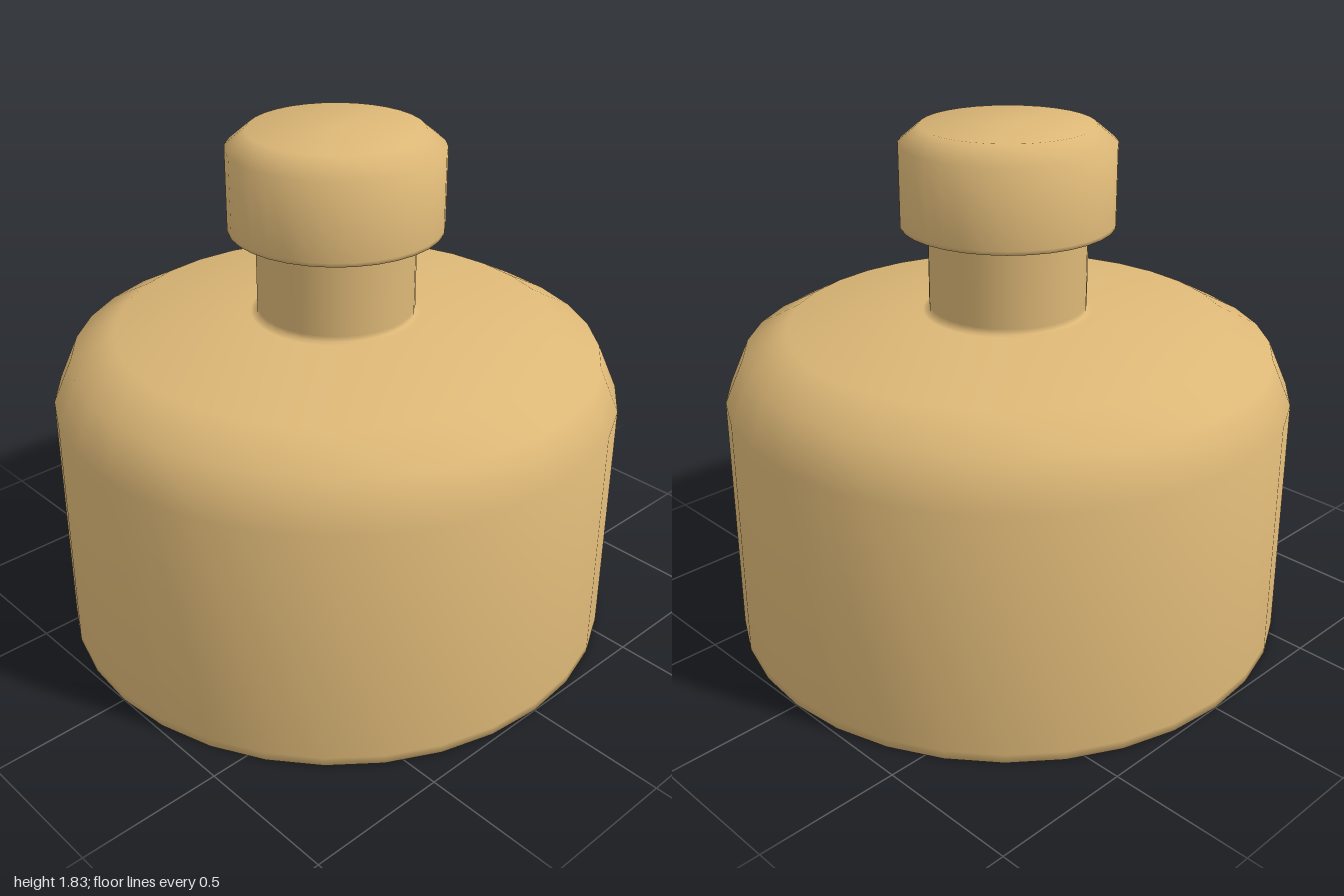
import * as THREE from 'three';

const SIDES = 32;

// Turns a profile of [radius, height] points (bottom to top) into a solid whose
// normals average the neighbouring profile segments equally, for soft rims.
function turned(name, profile, material) {
  const points = profile.map(([r, y]) => new THREE.Vector2(r, y));
  const geometry = new THREE.LatheGeometry(points, SIDES);
  const segments = points.slice(1).map((p, i) => {
    const d = p.clone().sub(points[i]).normalize();
    return new THREE.Vector2(d.y, -d.x);
  });
  const last = segments.length - 1;
  const normals = points.map((p, j) => {
    if (j === 0) return segments[0];
    if (j > last) return segments[last];
    return segments[j - 1].clone().add(segments[j]).normalize();
  });
  const attribute = geometry.attributes.normal;
  for (let i = 0; i <= SIDES; i++) {
    const a = (i / SIDES) * Math.PI * 2;
    normals.forEach((n, j) => {
      attribute.setXYZ(i * points.length + j, n.x * Math.sin(a), n.y, n.x * Math.cos(a));
    });
  }
  const mesh = new THREE.Mesh(geometry, material);
  mesh.name = name;
  return mesh;
}

export function createModel() {
  const group = new THREE.Group();
  group.name = 'squatBottle';
  const material = new THREE.MeshStandardMaterial({ color: 0xddb877 });

  // Flat base, straight wall, rounded shoulder and neck
  group.add(turned('bottleBody', [
    [0, 0], [1, 0], [1, 0.03],
    [1, 0.89], [0.93, 1.05], [0.78, 1.13],
    [0.3, 1.178], [0.277, 1.18], [0.277, 1.2], [0.277, 1.5],
  ], material));

  // Wide stopper with a chamfered top edge
  group.add(turned('stopper', [
    [0, 1.487], [0.36, 1.487], [0.372, 1.487], [0.372, 1.5],
    [0.372, 1.77], [0.3, 1.83], [0, 1.83],
  ], material));

  return group;
}
